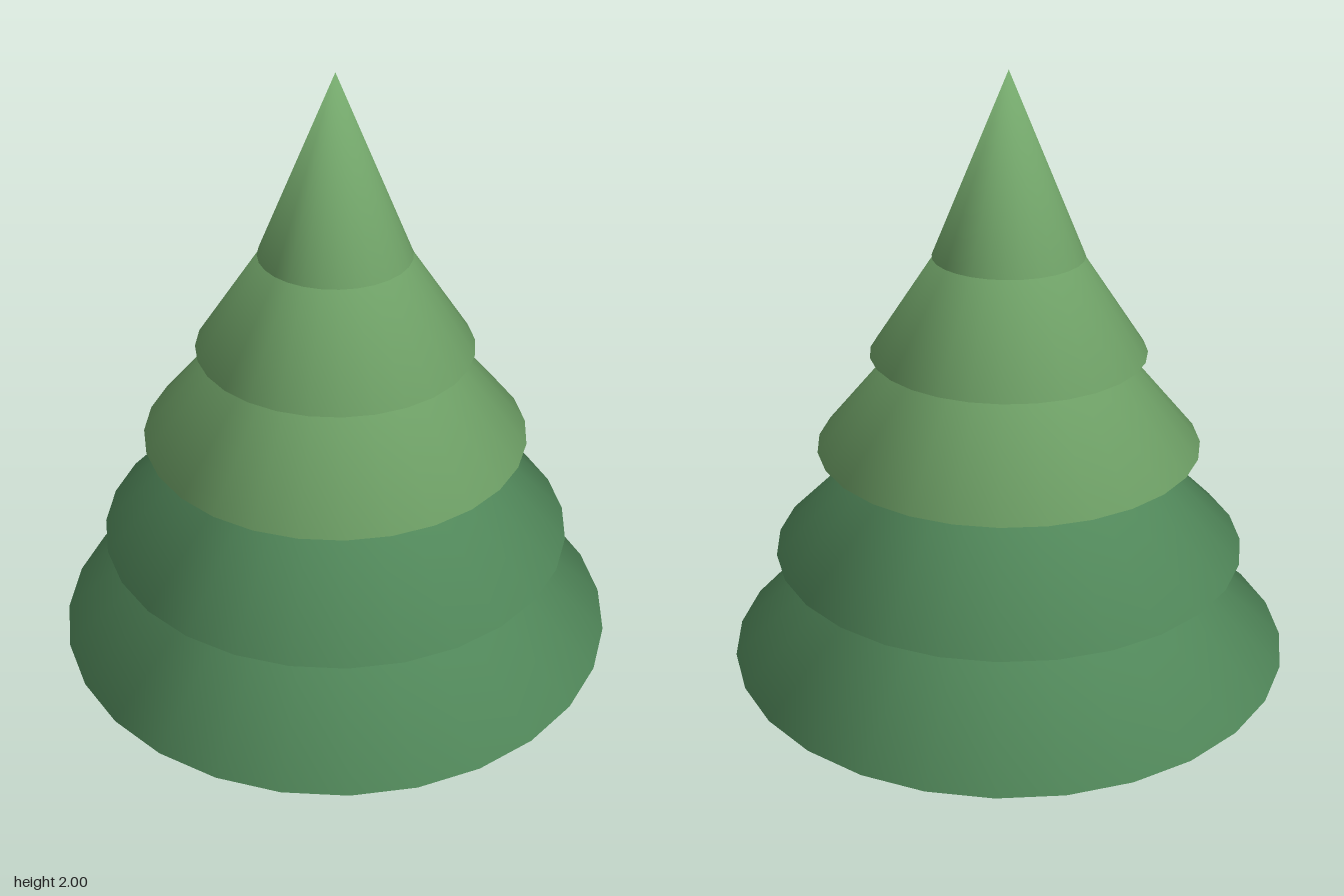
import * as THREE from 'three';
import { mergeVertices } from 'three/addons/utils/BufferGeometryUtils.js';

const SEGMENTS = 28;

// Weld all corners so shading flows softly across rims and caps
function soften(geometry) {
  geometry.deleteAttribute('normal');
  geometry.deleteAttribute('uv');
  const welded = mergeVertices(geometry, 1e-4);
  welded.computeVertexNormals();
  return welded;
}

function addPart(group, name, geometry, material, y) {
  const mesh = new THREE.Mesh(soften(geometry), material);
  mesh.name = name;
  mesh.position.y = y;
  group.add(mesh);
}

export function createModel() {
  const tree = new THREE.Group();
  tree.name = 'pineTree';

  const bark = new THREE.MeshStandardMaterial({ color: 0x8f7259 });
  bark.name = 'barkBrown';
  const darkGreen = new THREE.MeshStandardMaterial({ color: 0x5c9966 });
  darkGreen.name = 'darkGreen';
  const lightGreen = new THREE.MeshStandardMaterial({ color: 0x7bb272 });
  lightGreen.name = 'lightGreen';

  // Tapered trunk, its top tucked into the lowest tier
  addPart(tree, 'trunk', new THREE.CylinderGeometry(0.095, 0.143, 0.48, SEGMENTS), bark, 0.24);

  // Overlapping foliage cones: rim radius, rim height, tip height
  const tiers = [
    ['foliageBottom', 0.765, 0.43, 1.115, darkGreen],
    ['foliageLower', 0.635, 0.73, 1.36, darkGreen],
    ['foliageMiddle', 0.51, 1.025, 1.63, lightGreen],
    ['foliageUpper', 0.362, 1.28, 1.82, lightGreen],
    ['foliageTop', 0.196, 1.535, 2, lightGreen],
  ];
  for (const [name, radius, base, tip, material] of tiers) {
    addPart(tree, name, new THREE.ConeGeometry(radius, tip - base, SEGMENTS), material, (base + tip) / 2);
  }
  return tree;
}
